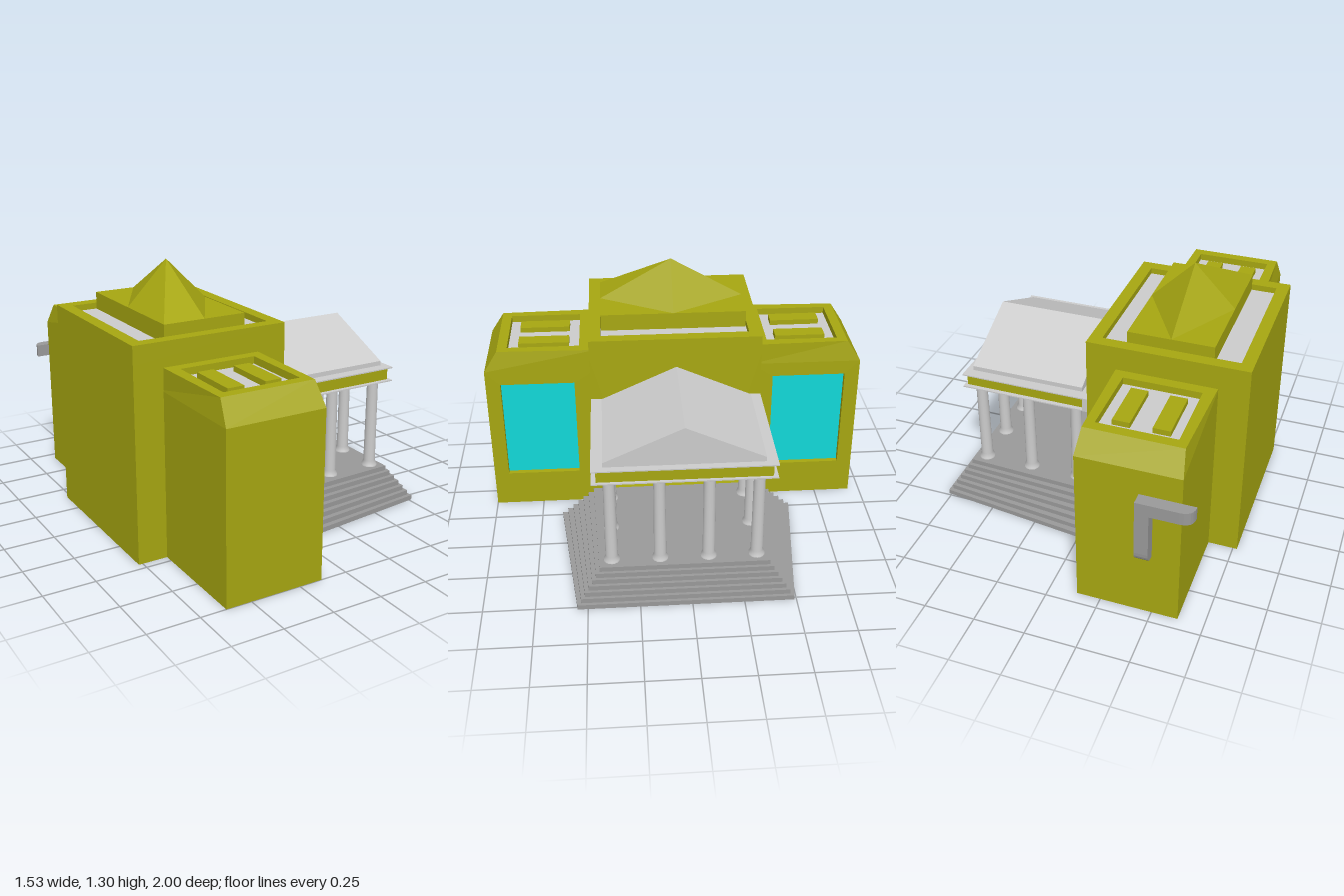
import * as THREE from 'three';

const mat = (color) => new THREE.MeshStandardMaterial({ color, flatShading: true });

export function createModel() {
  const model = new THREE.Group();
  model.name = 'columnedBuilding';
  model.position.z = 0.03; // everything below is symmetric about local z = 0
  const olive = mat(0xa6a611), teal = mat(0x11d8d8), grey = mat(0xcccccc), stone = mat(0x999999);

  function add(name, geometry, material, parent = model) {
    const mesh = new THREE.Mesh(geometry, material);
    mesh.name = name;
    parent.add(mesh);
    return mesh;
  }

  // Box given by its extents
  function box(name, x0, x1, y0, y1, z0, z1, material, parent) {
    const g = new THREE.BoxGeometry(x1 - x0, y1 - y0, Math.abs(z1 - z0));
    g.translate((x0 + x1) / 2, (y0 + y1) / 2, (z0 + z1) / 2);
    return add(name, g, material, parent);
  }

  // Rectangular ring at height y, counter-clockwise from above
  const ring = (y, x0, x1, z0, z1) => [[x0, y, z1], [x1, y, z1], [x1, y, z0], [x0, y, z0]];

  // Faceted skin through a list of rings
  function loft(rings) {
    const p = [];
    for (let k = 0; k + 1 < rings.length; k++) {
      const a = rings[k], b = rings[k + 1];
      a.forEach((_, i) => {
        const j = (i + 1) % a.length;
        p.push(...a[i], ...a[j], ...b[j], ...a[i], ...b[j], ...b[i]);
      });
    }
    const g = new THREE.BufferGeometry();
    g.setAttribute('position', new THREE.Float32BufferAttribute(p, 3));
    g.computeVertexNormals();
    return g;
  }

  const polygon = (pts) => new THREE.Shape(pts.map(([x, y]) => new THREE.Vector2(x, y)));
  const extrude = (shape, depth) =>
    new THREE.ExtrudeGeometry(shape, { depth, bevelEnabled: false, curveSegments: 6 });
  // Extrude a (-z, y) outline towards +x, starting at x
  const extrudeX = (shape, x, depth) => extrude(shape, depth).rotateY(Math.PI / 2).translate(x, 0, 0);
  // Extrude an (x, -z) outline upwards, starting at y
  const extrudeY = (shape, y, depth) => extrude(shape, depth).rotateX(-Math.PI / 2).translate(0, y, 0);
  const rect = (a0, a1, b0, b1) => [[a0, b0], [a1, b0], [a1, b1], [a0, b1]];

  // Wall facing +x with a recessed window
  function windowWall(x1, h, z0, z1, wy0, wy1, wz0, wz1, parent) {
    const wall = polygon(rect(-z1, -z0, 0, h));
    wall.holes.push(polygon(rect(-wz1, -wz0, wy0, wy1)));
    add('windowWall', extrudeX(wall, x1 - 0.03, 0.03), olive, parent);
    box('windowPane', x1 - 0.04, x1 - 0.027, wy0, wy1, wz0, wz1, teal, parent);
  }

  // Main block with sunken roof
  const main = new THREE.Group();
  main.name = 'mainBlock';
  model.add(main);
  box('mainCore', -0.77, -0.02, 0, 0.95, -0.43, 0.43, olive, main);
  windowWall(0.01, 0.95, -0.43, 0.43, 0.17, 0.68, -0.355, 0.355, main);
  add('mainRoofRim', loft([
    ring(0.95, -0.77, 0.01, -0.43, 0.43), ring(1.04, -0.77, 0.01, -0.43, 0.43),
    ring(1.04, -0.71, -0.05, -0.37, 0.37), ring(1.01, -0.71, -0.05, -0.37, 0.37),
  ]), olive, main);
  box('mainRoofFloor', -0.71, -0.05, 0.99, 1.01, -0.37, 0.37, grey, main);
  box('pyramidBase', -0.585, -0.17, 1.0, 1.095, -0.368, 0.368, olive, main);
  const foot = [[-0.585, 0.368], [-0.38, 0.368], [-0.17, 0], [-0.38, -0.368], [-0.585, 0]];
  add('pyramidRoof', loft([
    foot.map(([x, z]) => [x, 1.095, z]), foot.map(() => [-0.38, 1.305, 0]),
  ]), olive, main);

  // Two side wings
  for (const s of [1, -1]) {
    const wing = new THREE.Group();
    wing.name = s > 0 ? 'frontWing' : 'backWing';
    model.add(wing);
    const zs = (a, b) => (s > 0 ? [a, b] : [-b, -a]);
    box('wingCore', -0.625, -0.165, 0, 0.81, ...zs(0.4, 0.97), olive, wing);
    windowWall(-0.135, 0.81, ...zs(0.4, 0.97), 0.19, 0.735, ...zs(0.515, 0.895), wing);
    // Sloped cap, narrowing slightly towards the outer end
    let top = [[-0.61, 0.92, 0.9], [-0.148, 0.92, 0.9], [-0.135, 0.92, 0.4], [-0.625, 0.92, 0.4]];
    if (s < 0) top = [top[3], top[2], top[1], top[0]].map(([x, y, z]) => [x, y, -z]);
    add('wingCap', loft([
      ring(0.81, -0.625, -0.135, ...zs(0.4, 0.97)), top,
      ring(0.92, -0.567, -0.19, ...zs(0.483, 0.85)), ring(0.885, -0.567, -0.19, ...zs(0.483, 0.85)),
    ]), olive, wing);
    box('wingRoofFloor', -0.567, -0.19, 0.87, 0.885, ...zs(0.483, 0.85), grey, wing);
    for (const x of [-0.515, -0.33])
      box('roofVent', x, x + 0.082, 0.88, 0.912, ...zs(0.537, 0.797), olive, wing);
  }

  // Portico steps: stacked tapering slabs
  const portico = new THREE.Group();
  portico.name = 'portico';
  model.add(portico);
  const steps = 7, rise = 0.171 / steps;
  for (let i = 0; i < steps; i++) {
    const t = i / (steps - 1), inner = 0.61 - 0.17 * t, outer = 0.52 - 0.11 * t;
    const x1 = 0.765 - 0.093 * t;
    add('step', extrudeY(polygon([[0.01, -inner], [x1, -outer], [x1, outer], [0.01, inner]]),
      i * rise, rise), stone, portico);
  }

  // Columns with flared base and capital
  const profile = [[0.04, 0.17], [0.039, 0.178], [0.03, 0.2], [0.028, 0.615], [0.038, 0.638], [0.038, 0.647]]
    .map(([r, y]) => new THREE.Vector2(r, y));
  const column = new THREE.LatheGeometry(profile, 16);
  const smoothGrey = new THREE.MeshStandardMaterial({ color: 0xcccccc });
  const spots = [-0.35, -0.117, 0.117, 0.35].map((z) => [0.61, z]);
  for (const x of [0.1, 0.355]) spots.push([x, -0.35], [x, 0.35]);
  for (const [x, z] of spots) add('column', column, smoothGrey, portico).position.set(x, 0, z);

  // Entablature and gabled roof
  box('lowerCornice', 0.01, 0.67, 0.643, 0.649, -0.43, 0.43, grey, portico);
  box('frieze', 0.03, 0.655, 0.649, 0.711, -0.408, 0.408, olive, portico);
  box('wallJoint', 0.01, 0.035, 0.649, 0.711, -0.43, 0.43, grey, portico);
  box('upperCornice', 0.01, 0.67, 0.711, 0.717, -0.43, 0.43, grey, portico);
  add('gableRoof', extrudeX(polygon([[-0.375, 0.716], [0.375, 0.716], [0.375, 0.74], [0, 0.91], [-0.375, 0.74]]),
    0.055, 0.58), grey, portico);

  // Bent bracket on the back wall
  const bracket = new THREE.Group();
  bracket.name = 'backBracket';
  model.add(bracket);
  const bar = polygon([[-0.43, 0.97], [-0.43, 1.03], [-0.63, 1.03]]);
  bar.quadraticCurveTo(-0.69, 1.03, -0.69, 0.97);
  add('bracketBar', extrudeY(bar, 0.62, 0.063), stone, bracket);
  const leg = polygon([[0.97, 0.62], [1.03, 0.62], [1.03, 0.4]]);
  leg.quadraticCurveTo(1.03, 0.345, 0.97, 0.345);
  add('bracketLeg', extrudeX(leg, -0.495, 0.065), stone, bracket);

  return model;
}
